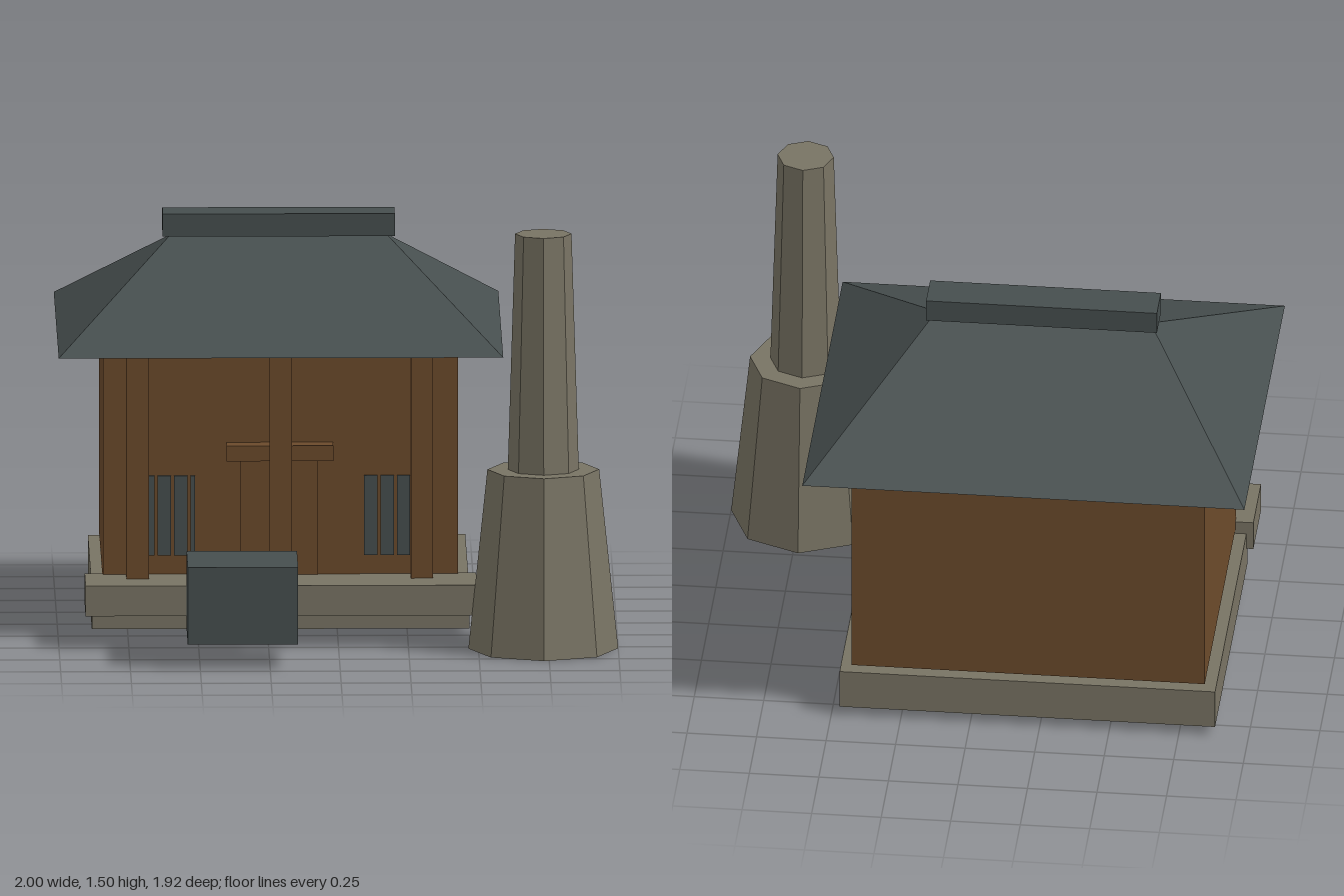
import * as THREE from 'three';

function material(name, color) {
  const m = new THREE.MeshStandardMaterial({ color });
  m.name = name;
  m.side = THREE.DoubleSide;
  m.flatShading = true;
  return m;
}

export function createModel() {
  const model = new THREE.Group();
  model.name = 'woodenHall';
  const wood = material('brown wood', 0x6b4a2b);
  const stone = material('grey stone', 0x787363);
  const slate = material('dark slate', 0x464e4e);

  const add = (name, geometry, mat) => {
    const mesh = new THREE.Mesh(geometry, mat);
    mesh.name = name;
    model.add(mesh);
    return mesh;
  };

  // Box given by its limits on each axis; open leaves out the bottom face
  const box = (name, mat, [x0, x1], [y0, y1], [z0, z1], open = false) => {
    const g = new THREE.BoxGeometry(x1 - x0, y1 - y0, z1 - z0);
    if (open) {
      const index = Array.from(g.index.array);
      index.splice(18, 6);
      g.setIndex(index);
      g.clearGroups();
    }
    g.translate((x0 + x1) / 2, (y0 + y1) / 2, (z0 + z1) / 2);
    return add(name, g, mat);
  };

  const cx = -0.205; // middle of the hall
  const wallZ = 0.285; // front wall plane

  // Stone footing and front step
  box('footing', stone, [-0.88, 0.47], [0.035, 0.182], [-0.82, 0.31], true);
  box('frontStep', stone, [-0.905, 0.495], [0.12, 0.23], [0.265, 0.53], true);

  // Walls and front posts
  box('walls', wood, [-0.84, 0.43], [0.197, 1.1], [-0.795, wallZ], true);
  for (const dx of [-0.512, 0, 0.505]) {
    box('frontPost', wood, [cx + dx - 0.04, cx + dx + 0.04], [0.21, 1.06], [wallZ, 0.382]);
  }

  // Door with a lintel across the middle post
  box('door', wood, [-0.35, -0.07], [0.23, 0.65], [wallZ, wallZ + 0.009]);
  box('doorLintel', wood, [-0.398, -0.017], [0.652, 0.708], [wallZ, 0.36]);

  // Slatted windows beside the outer posts
  for (const start of [-0.7, 0.094]) {
    for (let i = 0; i < 4; i++) {
      const x = start + i * 0.0585;
      const from = start < 0 ? x - 0.003 : x;
      const to = Math.min(from + 0.048, start < 0 ? -0.51 : 0.285);
      if (to > from) box('windowSlat', slate, [from, to], [0.3, 0.588], [wallZ, wallZ + 0.009]);
    }
  }

  // Hipped roof, open underneath
  const eave = 1.04, ridge = 1.37, zr = -0.26;
  const a = [-1, eave, 0.44], b = [0.59, eave, 0.44];
  const c = [0.59, eave, -0.96], d = [-1, eave, -0.96];
  const l = [-0.59, ridge, zr], r = [0.18, ridge, zr];
  const roof = new THREE.BufferGeometry();
  const faces = [a, b, r, a, r, l, b, c, r, c, d, l, c, l, r, d, a, l];
  roof.setAttribute('position', new THREE.Float32BufferAttribute(faces.flat(), 3));
  roof.computeVertexNormals();
  add('roof', roof, slate);
  box('ridgeCap', slate, [-0.62, 0.21], [1.373, 1.455], [-0.33, -0.19]);

  // Eight-sided stone tower with a stepped shaft, open underneath
  const profile = [[0.268, 0], [0.2, 0.65], [0.127, 0.65], [0.101, 1.505], [0, 1.505]]
    .map(([x, y]) => new THREE.Vector2(x, y));
  add('stoneTower', new THREE.LatheGeometry(profile, 8), stone).position.set(0.732, 0, 0.53);

  // Chest standing before the step
  box('frontChest', slate, [-0.545, -0.15], [0.09, 0.37], [0.615, 0.958], true);

  return model;
}
